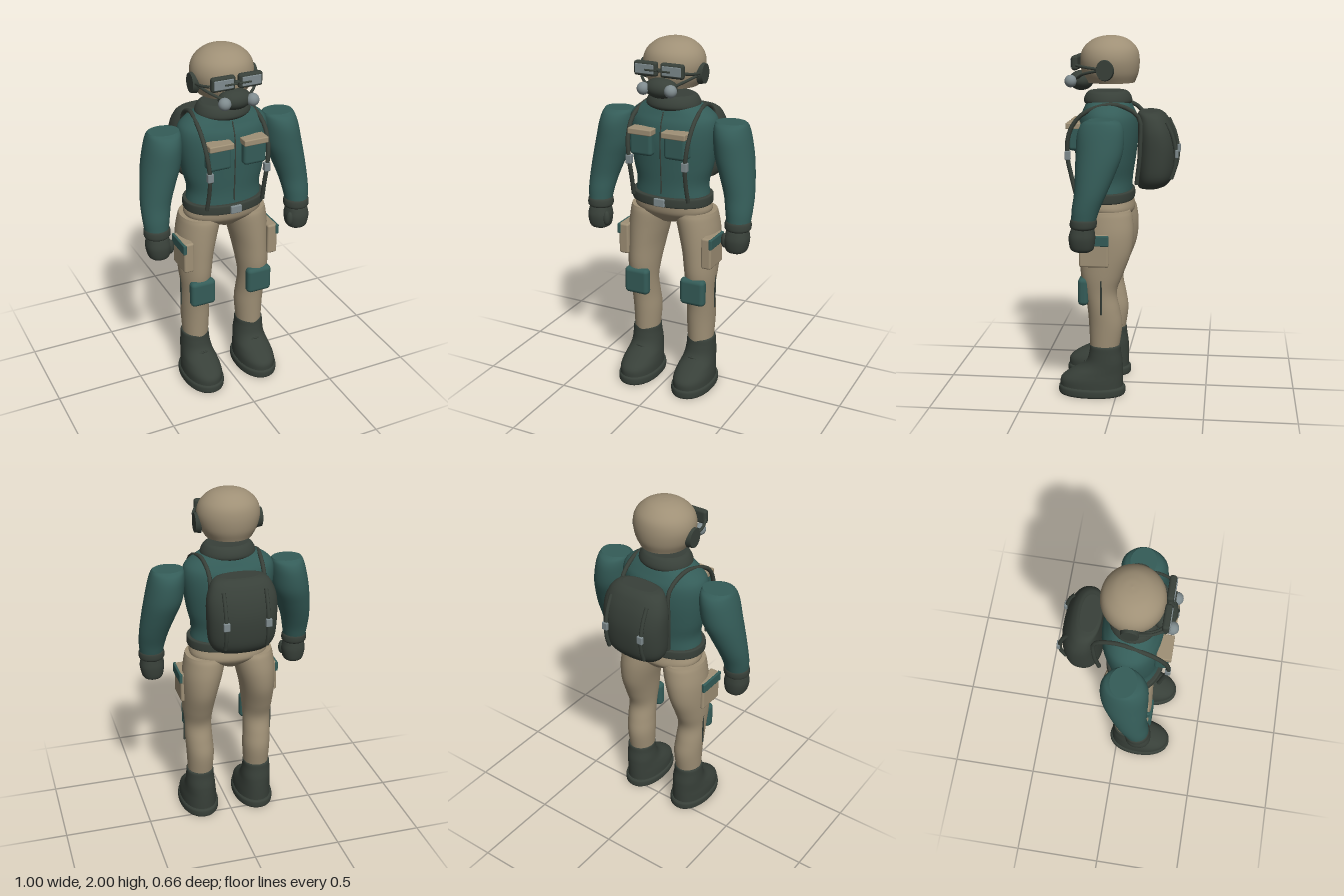
import * as THREE from 'three';
import { RoundedBoxGeometry } from 'three/addons/geometries/RoundedBoxGeometry.js';

const material = (name, color) => {
  const m = new THREE.MeshStandardMaterial({ color });
  m.name = name;
  return m;
};

// Smooth body from stacked sections [y, centreX, centreZ, radiusX, radiusZ]; power > 2 squares the section.
function loft(rows, power = 2, sides = 40, steps = 5) {
  const path = new THREE.CatmullRomCurve3(rows.map(r => new THREE.Vector3(r[1], r[0], r[2])), false, 'catmullrom', 0.5);
  const size = new THREE.CatmullRomCurve3(rows.map(r => new THREE.Vector3(r[3], 0, r[4])), false, 'catmullrom', 0.5);
  const n = (rows.length - 1) * steps, pos = [], index = [];
  const bend = v => Math.sign(v) * Math.pow(Math.abs(v), 2 / power);
  const ring = i => {
    const c = path.getPoint(i / n), r = size.getPoint(i / n);
    for (let j = 0; j < sides; j++) {
      const a = (j / sides) * Math.PI * 2;
      pos.push(c.x + r.x * bend(Math.cos(a)), c.y, c.z + r.z * bend(Math.sin(a)));
    }
    return c;
  };
  for (let i = 0; i <= n; i++) ring(i);
  for (let i = 0; i < n; i++) for (let j = 0; j < sides; j++) {
    const k = (j + 1) % sides, a = i * sides + j, b = i * sides + k;
    index.push(a, a + sides, b, b, a + sides, b + sides);
  }
  // end caps with their own vertices so the rims stay sharp
  for (const top of [false, true]) {
    const start = pos.length / 3, c = ring(top ? n : 0), mid = pos.length / 3;
    pos.push(c.x, c.y, c.z);
    for (let j = 0; j < sides; j++) {
      const a = start + j, b = start + (j + 1) % sides;
      if (top) index.push(mid, b, a); else index.push(mid, a, b);
    }
  }
  const g = new THREE.BufferGeometry();
  g.setAttribute('position', new THREE.Float32BufferAttribute(pos, 3));
  g.setIndex(index);
  g.computeVertexNormals();
  return g;
}

export function createModel() {
  const model = new THREE.Group();
  const tan = material('tan cloth', 0x9f9076);
  const teal = material('teal cloth', 0x345c58);
  const dark = material('dark gear', 0x384039);
  const metal = material('grey metal', 0x7f8b8e);

  const add = (name, geometry, mat, x = 0, y = 0, z = 0) => {
    const mesh = new THREE.Mesh(geometry, mat);
    mesh.name = name;
    mesh.position.set(x, y, z);
    model.add(mesh);
    return mesh;
  };
  const box = (name, mat, w, h, d, x, y, z, r = 0.01) =>
    add(name, new RoundedBoxGeometry(w, h, d, 3, Math.min(r, w / 2.1, h / 2.1, d / 2.1)), mat, x, y, z);
  const tube = (name, mat, pts, r) => add(name, new THREE.TubeGeometry(
    new THREE.CatmullRomCurve3(pts.map(p => new THREE.Vector3(...p))), 28, r, 8), mat);
  const ball = (name, mat, x, y, z, rx, ry, rz) => {
    const m = add(name, new THREE.SphereGeometry(1, 24, 16), mat, x, y, z);
    m.scale.set(rx, ry, rz);
    return m;
  };

  // head
  add('head', loft([
    [1.745, 0, 0.052, 0.128, 0.132], [1.80, 0, 0.055, 0.158, 0.156], [1.87, 0, 0.056, 0.171, 0.163],
    [1.93, 0, 0.055, 0.153, 0.148], [1.975, 0, 0.053, 0.105, 0.102], [1.995, 0, 0.05, 0.05, 0.05],
    [2.0, 0, 0.05, 0.002, 0.002]]), tan);
  ball('mask', dark, 0, 1.755, 0.215, 0.092, 0.055, 0.068);
  box('goggleBridge', dark, 0.07, 0.014, 0.02, 0, 1.855, 0.237, 0.005);

  // torso
  add('jacket', loft([
    [1.14, 0, 0.078, 0.215, 0.145], [1.22, 0, 0.075, 0.208, 0.145], [1.32, 0, 0.07, 0.232, 0.155],
    [1.45, 0, 0.065, 0.252, 0.165], [1.55, 0, 0.062, 0.255, 0.158], [1.605, 0, 0.062, 0.225, 0.135],
    [1.66, 0, 0.065, 0.13, 0.11]], 2.15), teal);
  add('collar', loft([
    [1.62, 0, 0.067, 0.13, 0.115], [1.64, 0, 0.067, 0.152, 0.132], [1.665, 0, 0.067, 0.148, 0.13],
    [1.69, 0, 0.067, 0.132, 0.116], [1.70, 0, 0.067, 0.115, 0.10]]), dark);
  add('belt', loft([
    [1.10, 0, 0.08, 0.226, 0.155], [1.108, 0, 0.08, 0.232, 0.162],
    [1.147, 0, 0.08, 0.232, 0.162], [1.155, 0, 0.08, 0.226, 0.155]], 2.2), dark);
  box('beltBuckle', metal, 0.064, 0.045, 0.02, 0, 1.127, 0.243, 0.005);
  tube('zip', dark, [[0, 1.17, 0.219], [0, 1.32, 0.224], [0, 1.45, 0.229], [0, 1.55, 0.219], [0, 1.62, 0.19]], 0.004);
  add('hips', loft([
    [0.99, 0, 0.06, 0.07, 0.10], [1.03, 0, 0.06, 0.19, 0.135], [1.06, 0, 0.065, 0.224, 0.148],
    [1.11, 0, 0.075, 0.215, 0.147]], 2.2), tan);

  // backpack
  add('backpack', loft([
    [1.17, 0, -0.17, 0.115, 0.065], [1.19, 0, -0.185, 0.15, 0.085], [1.25, 0, -0.2, 0.182, 0.102],
    [1.38, 0, -0.207, 0.192, 0.107], [1.48, 0, -0.2, 0.19, 0.098], [1.55, 0, -0.185, 0.168, 0.082],
    [1.582, 0, -0.17, 0.14, 0.068], [1.592, 0, -0.165, 0.105, 0.05]], 2.4), dark);

  for (const s of [1, -1]) {
    const side = s > 0 ? 'left' : 'right';
    const name = part => side + part;
    const limb = (part, mat, rows, power) =>
      add(name(part), loft(rows.map(([y, x, z, a, b]) => [y, x * s, z, a, b]), power), mat);
    const strap = (part, mat, pts, r) => tube(name(part), mat, pts.map(([x, y, z]) => [x * s, y, z]), r);

    // headset, goggles and breathing mask
    const ear = add(name('EarCup'), new THREE.CylinderGeometry(0.045, 0.05, 0.032, 28), dark, 0.17 * s, 1.82, 0.065);
    ear.rotation.z = -s * Math.PI / 2;
    ear.scale.z = 1;
    ear.scale.x = 1.18;
    box(name('GoggleFrame'), dark, 0.134, 0.078, 0.036, 0.077 * s, 1.856, 0.233, 0.014);
    box(name('GoggleLens'), metal, 0.108, 0.05, 0.008, 0.079 * s, 1.856, 0.252, 0.003);
    box(name('GoggleBar'), dark, 0.07, 0.01, 0.008, 0.04 * s, 1.853, 0.258, 0.003);
    strap('GoggleArm', dark, [[0.14, 1.845, 0.225], [0.163, 1.835, 0.17], [0.172, 1.825, 0.09]], 0.008);
    strap('MaskArm', dark, [[0.07, 1.765, 0.235], [0.125, 1.795, 0.19], [0.168, 1.82, 0.09]], 0.008);
    ball(name('MaskFilter'), metal, 0.08 * s, 1.755, 0.263, 0.034, 0.034, 0.034);

    // chest pocket
    box(name('ChestPocket'), teal, 0.132, 0.145, 0.08, 0.102 * s, 1.457, 0.228, 0.02);
    box(name('PocketFlap'), tan, 0.14, 0.034, 0.08, 0.1 * s, 1.519, 0.241, 0.006);

    // harness
    strap('ShoulderStrap', dark, [[0.14, 1.2, -0.105], [0.155, 1.4, -0.125], [0.15, 1.57, -0.115], [0.16, 1.635, 0.0],
      [0.175, 1.622, 0.11], [0.182, 1.57, 0.205], [0.178, 1.48, 0.26], [0.167, 1.36, 0.272],
      [0.163, 1.25, 0.252], [0.166, 1.15, 0.228]], 0.012);
    box(name('StrapBuckle'), metal, 0.034, 0.05, 0.03, 0.166 * s, 1.36, 0.27, 0.005);
    strap('PackStrap', dark, [[0.115, 1.54, -0.262], [0.115, 1.46, -0.298], [0.115, 1.37, -0.316],
      [0.115, 1.29, -0.311], [0.115, 1.23, -0.292]], 0.011);
    box(name('PackBuckle'), metal, 0.034, 0.045, 0.018, 0.115 * s, 1.37, -0.322, 0.004);

    // arm and hand
    limb('Sleeve', teal, [
      [1.06, 0.426, 0.147, 0.066, 0.066], [1.12, 0.423, 0.135, 0.074, 0.074], [1.2, 0.413, 0.112, 0.083, 0.086],
      [1.3, 0.39, 0.09, 0.095, 0.106], [1.4, 0.364, 0.072, 0.105, 0.123], [1.5, 0.348, 0.066, 0.1, 0.124],
      [1.555, 0.34, 0.062, 0.092, 0.105], [1.577, 0.337, 0.06, 0.084, 0.07]]);
    limb('Cuff', dark, [
      [1.012, 0.425, 0.15, 0.06, 0.058], [1.025, 0.425, 0.15, 0.072, 0.07],
      [1.055, 0.425, 0.148, 0.072, 0.07], [1.07, 0.425, 0.147, 0.064, 0.062]]);
    limb('Fist', dark, [
      [0.888, 0.423, 0.155, 0.035, 0.04], [0.905, 0.423, 0.157, 0.057, 0.062], [0.96, 0.424, 0.157, 0.068, 0.07],
      [1.0, 0.425, 0.154, 0.062, 0.064], [1.03, 0.425, 0.15, 0.055, 0.055]], 2.3);
    ball(name('Thumb'), dark, 0.366 * s, 0.955, 0.19, 0.02, 0.042, 0.022);

    // leg
    limb('Leg', tan, [
      [0.26, 0.173, 0.07, 0.072, 0.08], [0.4, 0.172, 0.063, 0.08, 0.093], [0.5, 0.177, 0.073, 0.08, 0.09],
      [0.6, 0.179, 0.09, 0.08, 0.09], [0.7, 0.178, 0.083, 0.089, 0.117], [0.82, 0.17, 0.062, 0.1, 0.14],
      [0.93, 0.156, 0.055, 0.113, 0.146], [1.02, 0.14, 0.058, 0.117, 0.14], [1.055, 0.137, 0.06, 0.112, 0.13]]);
    box(name('KneePad'), teal, 0.148, 0.156, 0.058, 0.175 * s, 0.608, 0.182, 0.024);
    box(name('ThighPouch'), tan, 0.06, 0.18, 0.162, 0.256 * s, 0.852, 0.115, 0.012);
    box(name('PouchFlap'), teal, 0.02, 0.058, 0.168, 0.283 * s, 0.911, 0.117, 0.006);
    box(name('LegSeam'), dark, 0.009, 0.2, 0.009, 0.262 * s, 0.585, 0.078, 0.004);

    // boot
    limb('Boot', dark, [
      [0.04, 0.171, 0.145, 0.106, 0.178], [0.09, 0.171, 0.142, 0.104, 0.176], [0.13, 0.171, 0.118, 0.097, 0.152],
      [0.165, 0.172, 0.085, 0.09, 0.118], [0.2, 0.173, 0.069, 0.086, 0.1], [0.25, 0.175, 0.066, 0.081, 0.089],
      [0.285, 0.175, 0.065, 0.079, 0.085], [0.292, 0.175, 0.065, 0.072, 0.078]], 2.15);
    limb('Sole', dark, [
      [0, 0.171, 0.142, 0.109, 0.183], [0.01, 0.171, 0.142, 0.115, 0.189],
      [0.038, 0.171, 0.142, 0.115, 0.189], [0.05, 0.171, 0.142, 0.108, 0.182]], 2.15);
    strap('BootCrease', dark, [[0.13, 0.178, 0.165], [0.17, 0.187, 0.178], [0.21, 0.178, 0.165]], 0.006);
  }
  return model;
}
